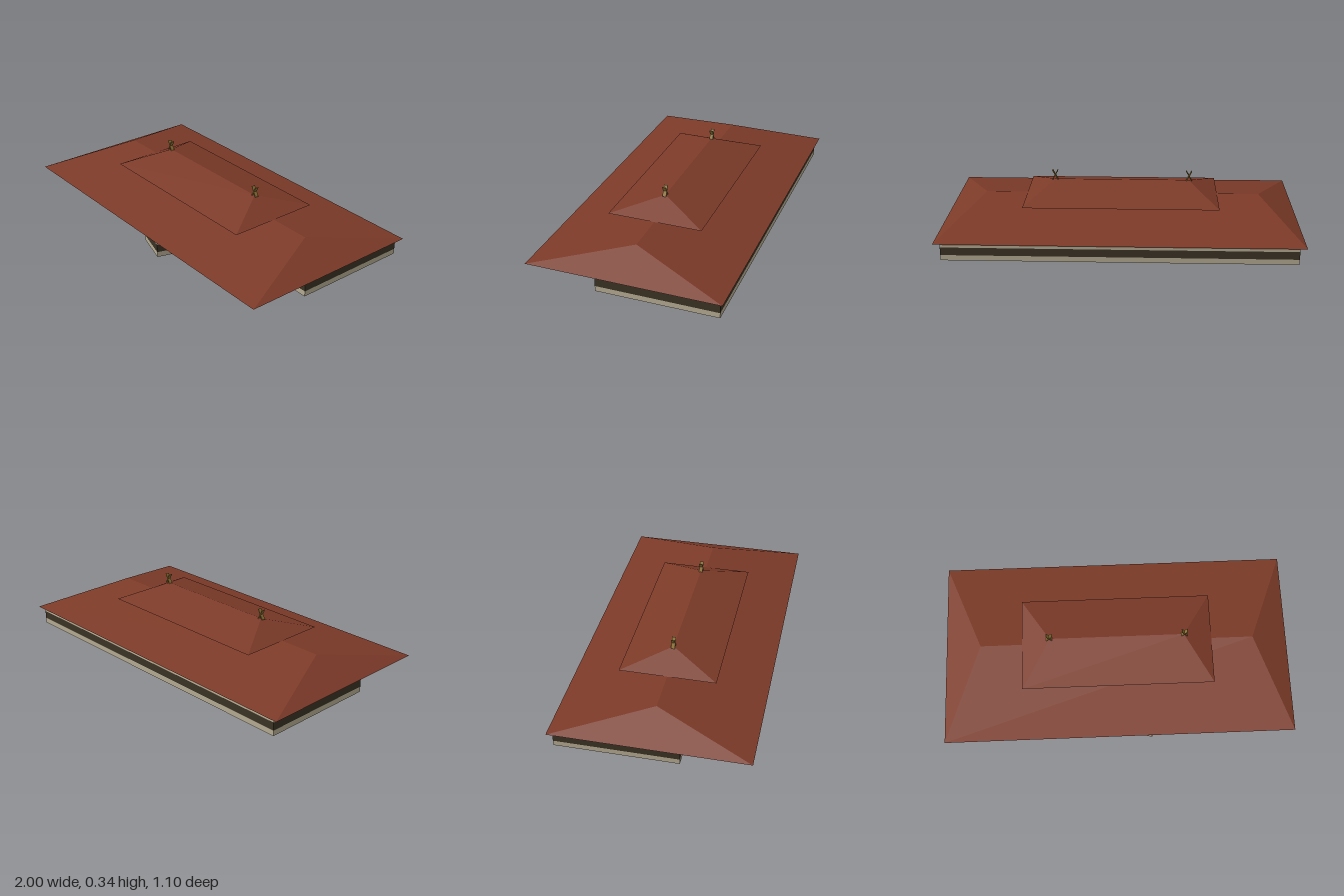
import * as THREE from 'three';

const roofRed = new THREE.MeshStandardMaterial({ color: 0x7c3a28 });
roofRed.name = 'roofRed';
const wallStone = new THREE.MeshStandardMaterial({ color: 0xb5aa92, side: THREE.DoubleSide });
wallStone.name = 'wallStone';
const windowDark = new THREE.MeshStandardMaterial({ color: 0x3a3224, side: THREE.DoubleSide });
windowDark.name = 'windowDark';
const finialGold = new THREE.MeshStandardMaterial({ color: 0x8f7434 });
finialGold.name = 'finialGold';

// Flat-shaded mesh from convex polygons, corners counter-clockwise from outside
function faceMesh(name, faces, material) {
  const pos = [];
  for (const f of faces) {
    for (let i = 1; i < f.length - 1; i++) pos.push(...f[0], ...f[i], ...f[i + 1]);
  }
  const geo = new THREE.BufferGeometry();
  geo.setAttribute('position', new THREE.Float32BufferAttribute(pos, 3));
  geo.computeVertexNormals();
  const mesh = new THREE.Mesh(geo, material);
  mesh.name = name;
  return mesh;
}

// Hipped roof with a closed flat underside
function hipRoof(name, halfX, halfZ, ridgeX, y0, y1) {
  const a = [-halfX, y0, halfZ], b = [halfX, y0, halfZ];
  const c = [halfX, y0, -halfZ], d = [-halfX, y0, -halfZ];
  const r = [ridgeX, y1, 0], l = [-ridgeX, y1, 0];
  return faceMesh(name, [[a, b, r, l], [b, c, r], [c, d, l, r], [d, a, l], [d, c, b, a]], roofRed);
}

// Upright band that follows the closed floor plan
function wallBand(name, plan, y0, y1, material) {
  const faces = plan.map(([x, z], i) => {
    const [u, w] = plan[(i + 1) % plan.length];
    return [[x, y0, z], [u, y0, w], [u, y1, w], [x, y1, z]];
  });
  return faceMesh(name, faces, material);
}

export function createModel() {
  const model = new THREE.Group();
  model.name = 'pavilion';

  // Floor plan with the skewed entrance bay on the front
  const plan = [
    [-0.956, 0.158], [0.085, 0.158], [-0.007, 0.462], [0.184, 0.517],
    [0.29, 0.158], [0.956, 0.158], [0.956, -0.51], [-0.956, -0.51],
  ];
  model.add(
    wallBand('lowerWall', plan, 0, 0.03, wallStone),
    wallBand('windowBand', plan, 0.03, 0.074, windowDark),
    wallBand('upperWall', plan, 0.074, 0.1, wallStone),
  );

  // Two stacked roofs
  model.add(
    hipRoof('mainRoof', 0.991, 0.532, 0.78, 0.1, 0.207),
    hipRoof('upperRoof', 0.543, 0.265, 0.38, 0.208, 0.288),
  );

  // Crossed finials at both ends of the upper ridge
  for (const side of [-1, 1]) {
    const finial = new THREE.Group();
    finial.name = side > 0 ? 'leftFinial' : 'rightFinial';
    finial.position.set(side * 0.382, 0.313, 0);
    for (const lean of [-1, 1]) {
      const blade = new THREE.Mesh(new THREE.BoxGeometry(0.004, 0.064, 0.021), finialGold);
      blade.name = 'finialBlade';
      blade.rotation.z = lean * 0.5;
      finial.add(blade);
    }
    model.add(finial);
  }

  // The whole building sits turned by one degree
  model.rotation.y = -0.0176;
  return model;
}
